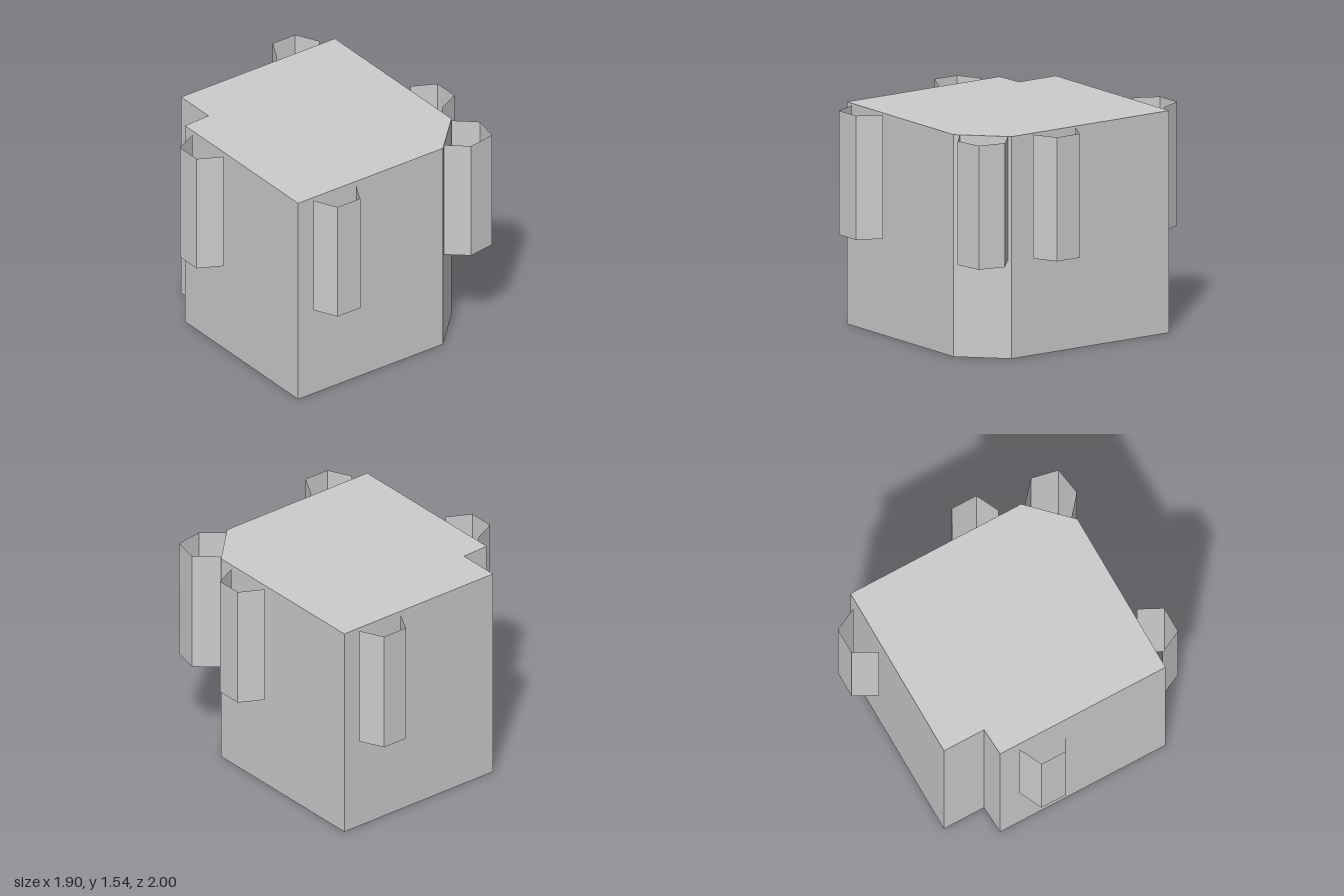
import * as THREE from 'three';

const HEIGHT = 1.54;
const BAY_BOTTOM = 0.68;

// Open upright wall following a plan path of [x, z] points
function wallStrip(points, y0, y1) {
  const pos = [];
  for (let i = 0; i < points.length - 1; i++) {
    const [ax, az] = points[i];
    const [bx, bz] = points[i + 1];
    pos.push(ax, y0, az, bx, y0, bz, bx, y1, bz);
    pos.push(ax, y0, az, bx, y1, bz, ax, y1, az);
  }
  const geo = new THREE.BufferGeometry();
  geo.setAttribute('position', new THREE.Float32BufferAttribute(pos, 3));
  geo.computeVertexNormals();
  return geo;
}

export function createModel() {
  const group = new THREE.Group();
  const grey = new THREE.MeshStandardMaterial({ color: 0xcccccc, flatShading: true, side: THREE.DoubleSide });
  grey.name = 'plain grey';

  const add = (name, geo) => {
    const mesh = new THREE.Mesh(geo, grey);
    mesh.name = name;
    group.add(mesh);
    return mesh;
  };

  // Main block: one chamfered corner, one notched corner
  const plan = [
    [-0.75, 0.8], [0.47, 0.8], [0.75, 0.52], [0.75, -0.8],
    [-0.545, -0.8], [-0.545, -0.49], [-0.75, -0.48],
  ];
  const shape = new THREE.Shape(plan.map(([x, z]) => new THREE.Vector2(x, -z)));
  const body = new THREE.ExtrudeGeometry(shape, { depth: HEIGHT, bevelEnabled: false });
  body.rotateX(-Math.PI / 2);
  add('buildingBody', body);

  // Three-sided bays, open at top, bottom and back
  const bay = [[-0.175, -0.165], [-0.095, 0], [0.095, 0], [0.18, -0.165]];
  const bays = [
    ['frontBay', -0.47, 1, 0],
    ['leftBay', 0.95, 0.19, Math.PI / 2],
    ['backBay', 0.47, -1, Math.PI],
    ['rightBay', -0.95, -0.175, -Math.PI / 2],
  ];
  for (const [name, x, z, turn] of bays) {
    const mesh = add(name, wallStrip(bay, BAY_BOTTOM, HEIGHT));
    mesh.position.set(x, 0, z);
    mesh.rotation.y = turn;
  }

  // Four-sided bay on the chamfered corner
  const corner = [[0.5, 0.77], [0.64, 0.89], [0.84, 0.86], [0.88, 0.67], [0.735, 0.54]];
  add('cornerBay', wallStrip(corner, BAY_BOTTOM, HEIGHT));

  return group;
}
